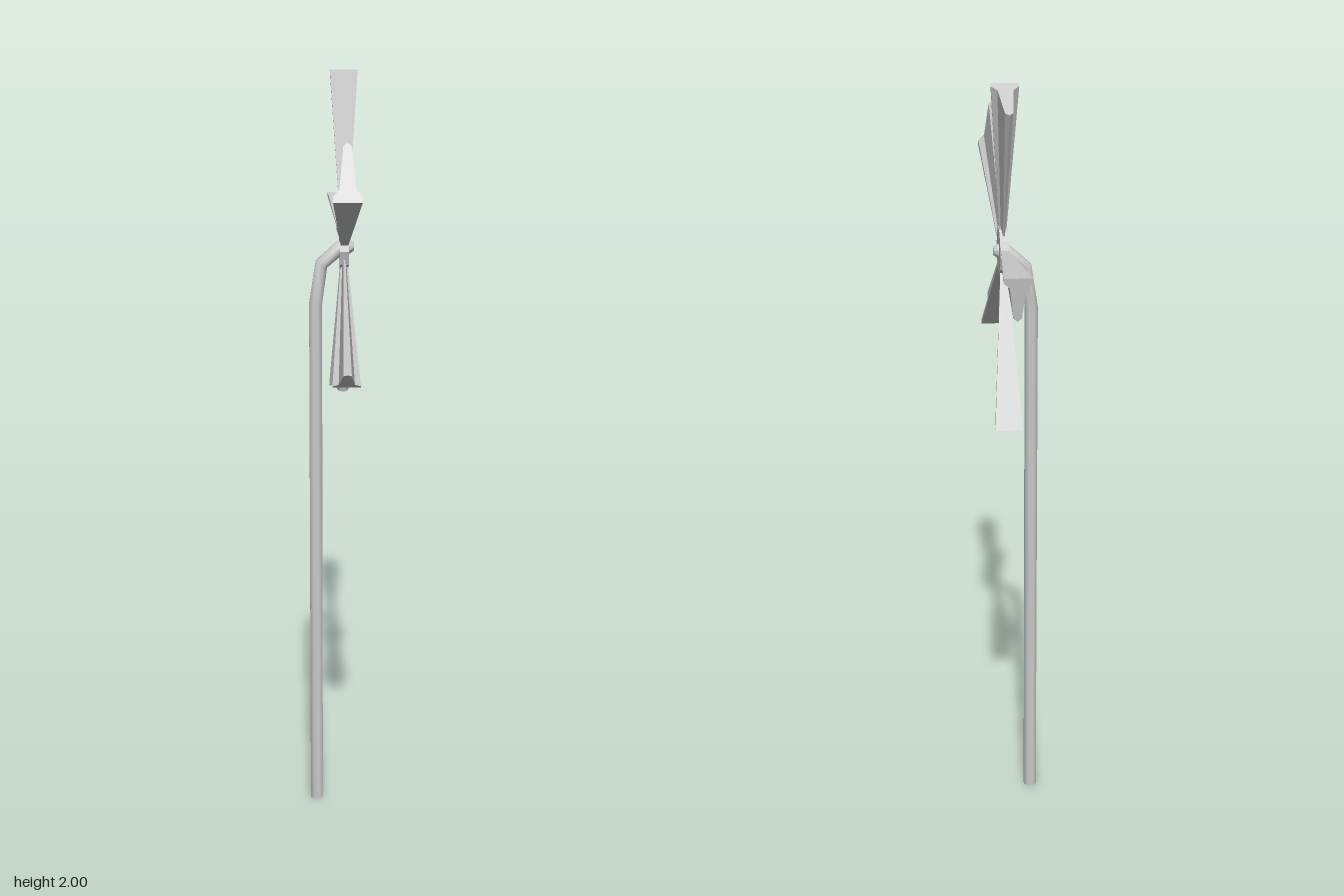
import * as THREE from 'three';
import { toCreasedNormals } from 'three/addons/utils/BufferGeometryUtils.js';

const material = new THREE.MeshStandardMaterial({ color: 0xcccccc });
const HUB = new THREE.Vector3(0.025, 1.56, 0.02);

// Closed solid through a list of equal-sized rings, both ends capped.
function loft(rings, crease) {
  const tris = [];
  const n = rings[0].length;
  const centre = r => r.reduce((s, p) => s.add(p), new THREE.Vector3()).divideScalar(n);
  const first = rings[0], last = rings[rings.length - 1];
  const c0 = centre(first), c1 = centre(last);
  for (let i = 0; i < n; i++) {
    const j = (i + 1) % n;
    for (let k = 0; k + 1 < rings.length; k++) {
      const a = rings[k], b = rings[k + 1];
      tris.push([a[i], a[j], b[j]], [a[i], b[j], b[i]]);
    }
    tris.push([c0, first[j], first[i]], [c1, last[i], last[j]]);
  }
  // Turn all faces outwards using the signed volume.
  let volume = 0;
  for (const [a, b, c] of tris) volume += a.clone().sub(c0).dot(b.clone().sub(c0).cross(c.clone().sub(c0)));
  if (volume < 0) tris.forEach(t => t.reverse());
  const geo = new THREE.BufferGeometry().setFromPoints(tris.flat());
  geo.computeVertexNormals();
  return crease ? toCreasedNormals(geo, crease) : geo;
}

// Blade section: [half thickness, position from the wide edge to the thin edge].
const half = [[0.035, 0], [0.035, 0.1], [0.02, 0.2], [0.01, 0.93]];
const section = [...half, [0, 1], ...half.map(([x, t]) => [-x, t]).reverse()];

// Tip corners (z, y from the hub): wide edge, then thin edge.
const blades = [
  [[-0.061, 0.44], [-0.204, 0.39]],
  [[-0.447, 0.057], [-0.426, -0.055]],
  [[-0.19, -0.42], [-0.08, -0.408]],
  [[0.294, -0.288], [0.407, -0.225]],
  [[0.384, 0.188], [0.326, 0.321]],
];

function bladeGeometry([wide, thin]) {
  const a = new THREE.Vector2(...wide), b = new THREE.Vector2(...thin);
  const mid = a.clone().lerp(b, 0.5);
  const ring = (reach, size) => section.map(([x, t]) => {
    const p = a.clone().lerp(b, t).sub(mid).multiplyScalar(size).addScaledVector(mid, reach);
    return new THREE.Vector3(x * size, p.y, p.x);
  });
  return loft([ring(0.1, 0.25), ring(1, 1)]);
}

// Bent pole with mitred corners: [x, y, tilt of the ring, radius].
function poleGeometry() {
  const path = [
    [-0.048, 0, 0, 0.018],
    [-0.048, 1.41, 0.06, 0.018],
    [-0.033, 1.515, 0.5, 0.018],
    [0.012, 1.555, 1.2, 0.019],
    [0.038, 1.56, 1.57, 0.019],
    [0.05, 1.56, 1.57, 0.01],
  ];
  return loft(path.map(([x, y, tilt, r]) => Array.from({ length: 8 }, (_, i) => {
    const w = (i + 0.5) * Math.PI / 4;
    const u = Math.cos(w) * r;
    return new THREE.Vector3(x + u * Math.cos(tilt), y - u * Math.sin(tilt), HUB.z - 0.002 + Math.sin(w) * r);
  })), 0.85);
}

export function createModel() {
  const model = new THREE.Group();
  model.name = 'windmill';
  const add = (parent, geo, name) => {
    const mesh = new THREE.Mesh(geo, material);
    mesh.name = name;
    parent.add(mesh);
    return mesh;
  };

  add(model, poleGeometry(), 'pole');

  // Wheel of five wedge blades around a faceted hub
  const wheel = new THREE.Group();
  wheel.name = 'wheel';
  wheel.position.copy(HUB);
  model.add(wheel);
  const hub = new THREE.CylinderGeometry(0.062, 0.062, 0.022, 10).toNonIndexed();
  hub.rotateZ(-Math.PI / 2);
  hub.computeVertexNormals();
  add(wheel, hub, 'hub');
  blades.forEach((tip, i) => add(wheel, bladeGeometry(tip), `blade${i + 1}`));

  return model;
}
